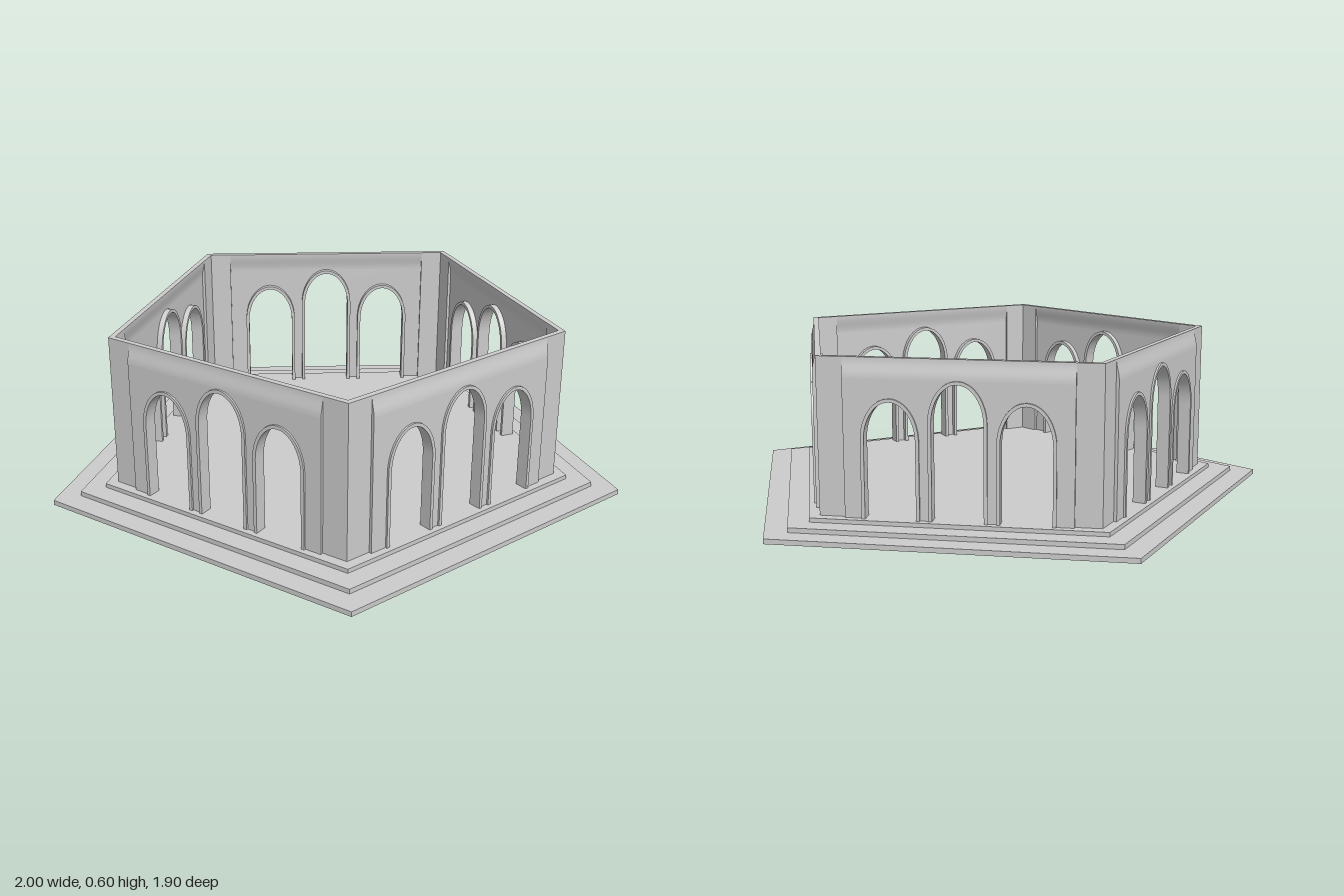
import * as THREE from 'three';
import { toCreasedNormals } from 'three/addons/utils/BufferGeometryUtils.js';

const stone = new THREE.MeshStandardMaterial({ color: 0xcccccc });
stone.name = 'pale grey stone';

const FLOOR = 0.05, TOP = 0.6, CAP = 0.53;
const R = 0.82, THICK = 0.02, PANEL = 0.39, SHIFT = 0.011;
const APOTHEM = R * Math.cos(Math.PI / 5);
const HALF = R * Math.sin(Math.PI / 5);
const INNER_HALF = HALF - THICK * Math.tan(Math.PI / 5);
const TRIM = 0.012;
const ARCHES = [[-0.23, 0.465], [0, 0.53], [0.23, 0.465]]; // centre x, crown y

function add(parent, name, geometry) {
  const mesh = new THREE.Mesh(geometry, stone);
  mesh.name = name;
  parent.add(mesh);
  return mesh;
}

const extrude = (shape, depth) =>
  new THREE.ExtrudeGeometry(shape, { depth, bevelEnabled: false, curveSegments: 12 });

// Pentagon outline with one corner towards the back
function pentagon(radius) {
  return Array.from({ length: 5 }, (_, i) => {
    const a = -i * Math.PI * 2 / 5;
    return new THREE.Vector2(radius * Math.sin(a), radius * Math.cos(a));
  });
}

// One flat tier; a hollow tier is a ring
function tier(outer, inner, y0, y1) {
  const shape = new THREE.Shape(pentagon(outer));
  if (inner) shape.holes.push(new THREE.Path(pentagon(inner).reverse()));
  return extrude(shape, y1 - y0).rotateX(-Math.PI / 2).translate(0, y0, 0);
}

// Points of a tall elliptical arch, left foot to right foot
function archPoints(cx, crown, inset) {
  const rx = 0.1 - inset, ry = 0.145 - inset, spring = crown - 0.145;
  const points = [new THREE.Vector2(cx - rx, FLOOR)];
  for (let i = 0; i <= 24; i++) {
    const a = Math.PI * (1 - i / 24);
    points.push(new THREE.Vector2(cx + rx * Math.cos(a), spring + ry * Math.sin(a)));
  }
  points.push(new THREE.Vector2(cx + rx, FLOOR));
  return points;
}

// Arcade panel up to the curved head, notched by the three arches
function panelGeometry() {
  const points = [new THREE.Vector2(-PANEL, FLOOR)];
  for (const [cx, crown] of ARCHES) points.push(...archPoints(cx, crown, 0.002));
  points.push(new THREE.Vector2(PANEL, FLOOR),
    new THREE.Vector2(PANEL, CAP), new THREE.Vector2(-PANEL, CAP));
  return extrude(new THREE.Shape(points), THICK).translate(0, 0, SHIFT - THICK);
}

// Panel head curving back to the wall line, swept sideways
function headGeometry() {
  const front = [], back = [];
  for (let i = 0; i <= 8; i++) {
    const t = i / 8, y = CAP + (TOP - CAP) * t;
    const z = SHIFT * (0.5 + 0.5 * Math.cos(Math.PI * t));
    front.push(new THREE.Vector2(-z, y));
    back.unshift(new THREE.Vector2(THICK - z, y));
  }
  const geometry = extrude(new THREE.Shape([...front, ...back]), PANEL * 2);
  geometry.rotateY(Math.PI / 2).translate(-PANEL, 0, 0);
  return toCreasedNormals(geometry, 0.6);
}

// Mitred pier seen from above, on the +x (1) or -x (-1) end
function pierGeometry(side) {
  const shape = new THREE.Shape([
    new THREE.Vector2(side * PANEL, 0), new THREE.Vector2(side * HALF, 0),
    new THREE.Vector2(side * INNER_HALF, THICK), new THREE.Vector2(side * PANEL, THICK)]);
  return extrude(shape, TOP - FLOOR).rotateX(-Math.PI / 2).translate(0, FLOOR, 0);
}

// Thin lining of one arch, standing proud on both faces
function trimGeometry(cx, crown) {
  const shape = new THREE.Shape([
    ...archPoints(cx, crown, 0), ...archPoints(cx, crown, TRIM).reverse()]);
  return toCreasedNormals(extrude(shape, 0.047).translate(0, 0, -0.029), 0.6);
}

export function createModel() {
  const model = new THREE.Group();
  model.name = 'pentagonal arcade';
  const body = new THREE.Group();
  body.name = 'pavilion';
  body.position.z = 0.1;
  model.add(body);

  // Stepped base
  add(body, 'lowerStep', tier(1.0515, 0.953, 0, 0.018));
  add(body, 'middleStep', tier(0.955, 0.863, 0.017, 0.035));
  add(body, 'floor', tier(0.865, 0, 0.034, FLOOR));

  // Shared geometry for the five walls
  const panel = panelGeometry(), head = headGeometry();
  const piers = [-1, 1].map(pierGeometry);
  const trims = ARCHES.map(([cx, crown]) => trimGeometry(cx, crown));

  for (let i = 0; i < 5; i++) {
    const turn = new THREE.Group();
    turn.name = 'wallSide' + (i + 1);
    turn.rotation.y = i * Math.PI * 2 / 5;
    const wall = new THREE.Group();
    wall.name = 'wall';
    wall.position.z = APOTHEM;
    turn.add(wall);
    add(wall, 'arcadePanel', panel);
    add(wall, 'panelHead', head);
    piers.forEach(g => add(wall, 'cornerPier', g));
    trims.forEach(g => add(wall, 'archTrim', g));
    body.add(turn);
  }
  return model;
}
